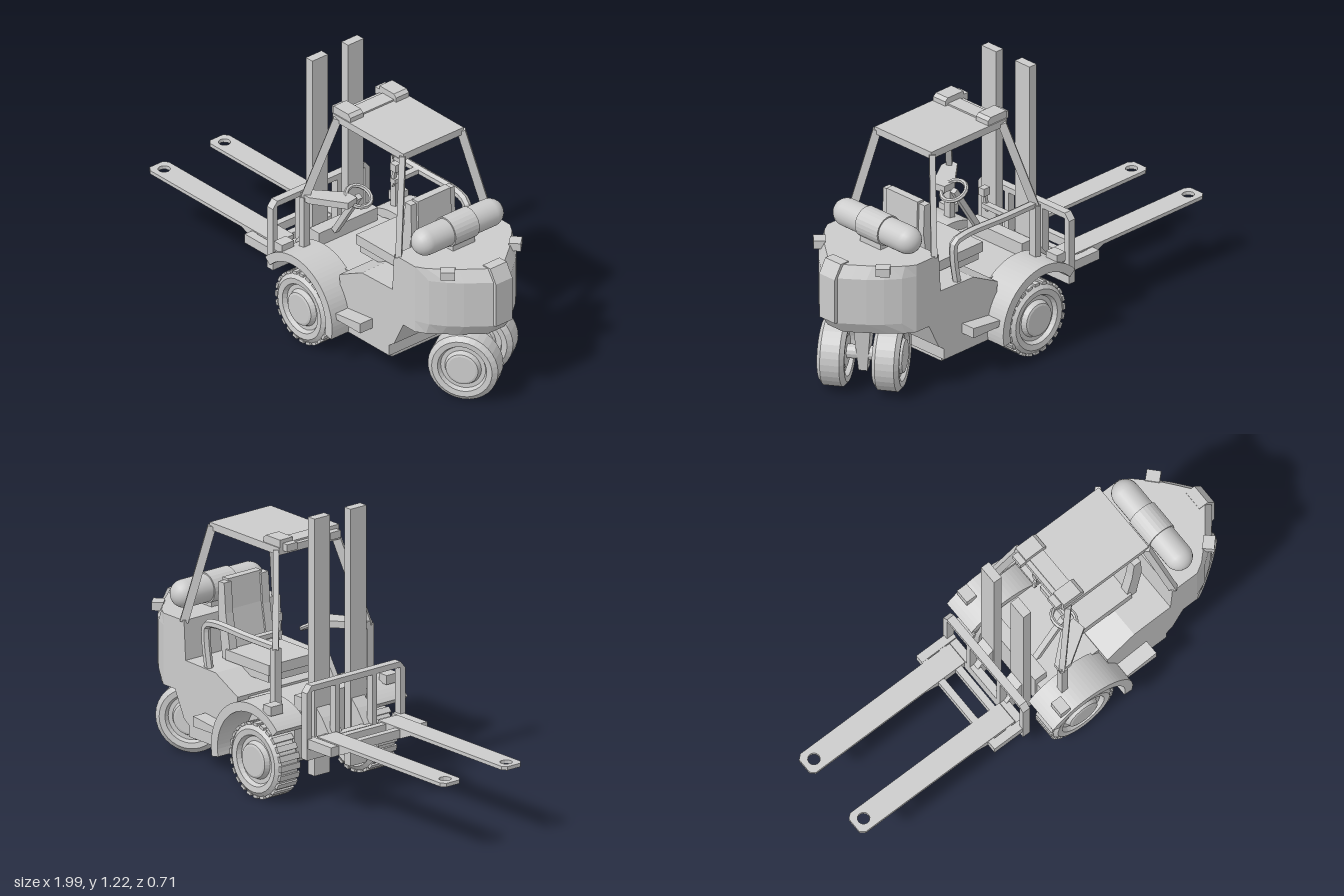
import * as THREE from 'three';

const mat = new THREE.MeshStandardMaterial({ color: 0xcccccc, flatShading: true });
const smooth = new THREE.MeshStandardMaterial({ color: 0xcccccc });
const V = (x, y, z) => new THREE.Vector3(x, y, z);

export function createModel() {
  const model = new THREE.Group();
  model.name = 'forklift';

  const add = (name, geo, parent = model, m = mat) => {
    const mesh = new THREE.Mesh(geo, m);
    mesh.name = name;
    parent.add(mesh);
    return mesh;
  };
  // box given by its extents
  const box = (name, x0, x1, y0, y1, z0, z1, parent = model) => {
    const b = add(name, new THREE.BoxGeometry(x1 - x0, y1 - y0, z1 - z0), parent);
    b.position.set((x0 + x1) / 2, (y0 + y1) / 2, (z0 + z1) / 2);
    return b;
  };
  const poly = (pts) => new THREE.Shape(pts.map((p) => new THREE.Vector2(p[0], p[1])));
  // side profile (x, y) pushed along z
  const prism = (name, shape, z0, z1, parent = model) => {
    const g = new THREE.ExtrudeGeometry(shape, { depth: z1 - z0, bevelEnabled: false, curveSegments: 16 });
    return add(name, g.translate(0, 0, z0), parent);
  };
  // plan outline (x, -z) pushed along y
  const slab = (shape, y0, y1, steps = 1) =>
    new THREE.ExtrudeGeometry(shape, { depth: y1 - y0, steps, bevelEnabled: false, curveSegments: 6 })
      .rotateX(-Math.PI / 2).translate(0, y0, 0);
  // straight bar between two points
  const beam = (name, a, b, w, d) => {
    const m = add(name, new THREE.BoxGeometry(w, d, a.distanceTo(b)));
    m.position.copy(a).lerp(b, 0.5);
    m.lookAt(b);
    return m;
  };

  // chassis: narrow front between the wheels, wide rear
  prism('frontChassis', poly([[-0.04, 0.17], [0.3, 0.13], [0.3, 0.37], [-0.04, 0.37]]), -0.2, 0.2);
  prism('rearChassis', poly([[0.27, 0.13], [0.56, 0.13], [0.56, 0.18], [0.59, 0.2], [0.65, 0.32], [0.65, 0.625],
    [0.59, 0.625], [0.58, 0.455], [0.39, 0.45], [0.25, 0.38]]), -0.26, 0.26);
  box('dashPanel', -0.05, 0.01, 0.2, 0.43, -0.16, 0.16);
  for (const x of [0.29, 0.54]) box('underRib', x, x + 0.015, 0.115, 0.14, -0.24, 0.24);

  // counterweight, its rounded tail drawn in at top and bottom
  const half = [[0.59, 0.26], [0.72, 0.26], [0.78, 0.235], [0.84, 0.19], [0.89, 0.14], [0.93, 0.09], [0.965, 0.045]];
  const cw = slab(poly([...half.map(([x, z]) => [x, -z]), ...half.slice().reverse()]), 0.315, 0.625, 6);
  const p = cw.attributes.position;
  for (let i = 0; i < p.count; i++) {
    const edge = p.getY(i) < 0.32 || p.getY(i) > 0.62;
    if (edge && p.getX(i) > 0.73) p.setX(i, p.getX(i) - 0.035 * Math.min(1, (p.getX(i) - 0.7) / 0.15));
  }
  cw.computeVertexNormals();
  add('counterweight', cw);
  prism('tailPanel', poly([[0.92, 0.36], [0.98, 0.37], [0.98, 0.57], [0.945, 0.63], [0.9, 0.63]]), -0.045, 0.045);

  // fenders, lights, steps and rear lamps, mirrored
  for (const s of [1, -1]) {
    const span = (a, b) => (s > 0 ? [a, b] : [-b, -a]);
    const arc = new THREE.Shape();
    arc.absarc(0.07, 0.18, 0.24, -0.21, 2.4, false);
    arc.absarc(0.07, 0.18, 0.2, 2.4, -0.21, true);
    prism('fender', arc, ...span(0.19, 0.353));
    box('headlight', -0.06, -0.01, 0.395, 0.435, ...span(0.28, 0.345));
    prism('step', poly([[0.28, 0.215], [0.455, 0.215], [0.455, 0.26], [0.28, 0.24]]), ...span(0.25, 0.326));
    const lamp = add('rearLamp', new THREE.BoxGeometry(0.05, 0.036, 0.06));
    lamp.position.set(0.84, 0.615, s * 0.185);
    lamp.rotation.y = -s * 0.75;

    // overhead guard legs
    beam('frontPost', V(0.022, 0.34, s * 0.25), V(0.022, 0.65, s * 0.25), 0.03, 0.035);
    beam('frontLeg', V(0.022, 0.64, s * 0.25), V(0.125, 1.03, s * 0.16), 0.025, 0.035);
    beam('rearLeg', V(0.605, 0.615, s * 0.247), V(0.53, 1.03, s * 0.16), 0.025, 0.035);
    prism('roofLampHousing', poly([[0.1, 1.02], [0.205, 1.02], [0.205, 1.065], [0.19, 1.078], [0.1, 1.078]]),
      ...span(0.09, 0.16));
    box('roofLamp', 0.072, 0.1, 1.03, 1.062, ...span(0.09, 0.145));

    // mast rail with its bracket
    box('mastRail', -0.095, -0.055, 0.1, 1.215, ...span(0.055, 0.14));
    prism('mastBracket', poly([[-0.175, 0.22], [-0.09, 0.22], [-0.09, 0.4], [-0.13, 0.36], [-0.175, 0.3]]),
      ...span(0.06, 0.13));

    // fork tine with a slot near the tip
    const tine = poly([[-1, -0.035], [-0.98, -0.052], [-0.21, -0.052], [-0.21, 0.052], [-0.98, 0.052], [-1, 0.035]]);
    const slot = new THREE.Path();
    slot.absellipse(-0.95, 0, 0.026, 0.026, 0, Math.PI * 2, true);
    tine.holes.push(slot);
    add('forkTine', slab(tine, 0.299, 0.315)).position.z = s * 0.165;
    prism('forkHeel', poly([[-0.41, 0.3], [-0.34, 0.27], [-0.2, 0.27], [-0.2, 0.315], [-0.41, 0.315]]),
      ...span(0.113, 0.217));
    box('carriageSide', -0.34, -0.16, 0.27, 0.312, ...span(0.222, 0.26));
  }

  // roof
  box('roof', 0.1, 0.54, 1.013, 1.045, -0.165, 0.165);
  box('roofFrontRib', 0.12, 0.19, 1.04, 1.052, -0.1, 0.1);

  // fork carriage: base bars and upright guard
  box('carriageBar', -0.34, -0.31, 0.272, 0.31, -0.26, 0.26);
  box('carriageBar', -0.25, -0.22, 0.272, 0.31, -0.26, 0.26);
  const guard = poly([[-0.265, 0.22], [0.265, 0.22], [0.265, 0.51], [0.24, 0.54], [-0.24, 0.54], [-0.265, 0.51]]);
  const bars = [-0.24, -0.1, 0.1, 0.24];
  for (let i = 0; i < 3; i++) {
    const a = bars[i] + (i ? 0.012 : 0), b = bars[i + 1] - (i < 2 ? 0.012 : 0);
    const hole = new THREE.Path();
    hole.moveTo(a, 0.3).lineTo(a, 0.515).lineTo(b, 0.515).lineTo(b, 0.3).closePath();
    guard.holes.push(hole);
  }
  const guardGeo = new THREE.ExtrudeGeometry(guard, { depth: 0.036, bevelEnabled: false });
  add('loadGuard', guardGeo.rotateY(Math.PI / 2).translate(-0.195, 0, 0));

  // seat
  box('seatBase', 0.22, 0.5, 0.42, 0.46, -0.12, 0.12);
  box('seatCushion', 0.205, 0.48, 0.455, 0.5, -0.13, 0.13);
  const backShape = [[0.465, 0.46], [0.52, 0.46], [0.55, 0.66], [0.545, 0.79], [0.51, 0.79], [0.5, 0.66]];
  prism('seatBack', poly(backShape), -0.09, 0.09);
  for (const s of [1, -1]) {
    const wing = prism('seatBackWing', poly(backShape.map(([x, y]) => [x - 0.01, y - 0.01])), -0.02, 0.02);
    wing.position.z = s * 0.1;
    wing.rotation.y = 0;
  }

  // side rail curving down beside the seat
  const railPath = new THREE.CatmullRomCurve3([V(0.02, 0.65, -0.245), V(0.2, 0.65, -0.245), V(0.42, 0.65, -0.24),
    V(0.475, 0.63, -0.235), V(0.48, 0.57, -0.235), V(0.46, 0.44, -0.235)]);
  add('sideRail', new THREE.TubeGeometry(railPath, 28, 0.019, 6));

  // controls: arm from the post, steering wheel and lever
  add('controlArm', slab(poly([[0.005, -0.26], [0.06, -0.26], [0.2, -0.17], [0.19, -0.11], [0.13, -0.11], [0.005, -0.22]]),
    0.632, 0.662));
  const wheel = add('steeringWheel', new THREE.TorusGeometry(0.055, 0.01, 6, 16).rotateX(Math.PI / 2));
  wheel.position.set(0.165, 0.645, 0.08);
  wheel.rotation.z = -0.5;
  beam('steeringColumn', V(0.02, 0.42, 0.08), V(0.165, 0.645, 0.08), 0.025, 0.025);
  beam('lever', V(0.16, 0.62, -0.11), V(0.178, 0.72, -0.11), 0.014, 0.014);
  box('leverKnob', 0.16, 0.195, 0.7, 0.735, -0.125, -0.095);
  beam('leverArm', V(0.17, 0.65, -0.1), V(0.17, 0.65, -0.25), 0.03, 0.02);

  // gas tank with strap and saddle
  const tank = add('gasTank', new THREE.CapsuleGeometry(0.06, 0.35, 6, 24).rotateX(Math.PI / 2), model, smooth);
  tank.position.set(0.688, 0.7, 0);
  const strap = add('tankStrap', new THREE.CylinderGeometry(0.066, 0.066, 0.13, 24).rotateX(Math.PI / 2));
  strap.position.copy(tank.position);
  box('tankSaddle', 0.65, 0.73, 0.62, 0.66, -0.06, 0.06);

  // wheels, outer face towards +z
  const profile = [[0, -0.8], [0.45, -0.8], [0.5, -0.6], [0.66, -0.6], [0.7, -0.95], [0.86, -1], [1, -0.7], [1, 0.7],
    [0.86, 1], [0.7, 0.95], [0.64, 0.65], [0.52, 0.65], [0.46, 1], [0.4, 1.05], [0, 1.05]];
  const makeWheel = (name, r, w, lugs) => {
    const g = new THREE.Group();
    g.name = name;
    const pts = profile.map(([a, b]) => new THREE.Vector2(a * r, b * w / 2));
    add('tyreAndHub', new THREE.LatheGeometry(pts, 32).rotateX(Math.PI / 2), g);
    for (let i = 0; i < lugs; i++) {
      const t = (i / lugs) * Math.PI * 2;
      const lug = add('treadLug', new THREE.BoxGeometry(0.012, 0.026, w * 0.84), g);
      lug.position.set(Math.cos(t) * r, Math.sin(t) * r, 0);
      lug.rotation.z = t;
    }
    model.add(g);
    return g;
  };
  for (const s of [1, -1]) {
    const w = makeWheel('frontWheel', 0.157, 0.125, 24);
    w.position.set(0.075, 0.163, s * 0.263);
    if (s < 0) w.rotation.y = Math.PI;
  }
  const axle = add('frontAxle', new THREE.CylinderGeometry(0.05, 0.05, 0.44, 12).rotateX(Math.PI / 2));
  axle.position.set(0.075, 0.163, 0);

  // steered rear pair, turned about the column
  const turn = 0.58, cx = 0.775, cz = -0.01;
  for (const s of [1, -1]) {
    const w = makeWheel('rearWheel', 0.15, 0.115, 0);
    w.position.set(cx + s * 0.115 * Math.sin(turn), 0.152, cz + s * 0.115 * Math.cos(turn));
    w.rotation.y = turn + (s < 0 ? Math.PI : 0);
  }
  const column = add('steeringFork', new THREE.CylinderGeometry(0.075, 0.035, 0.25, 4, 1).rotateY(Math.PI / 4).scale(1, 1, 0.75));
  column.position.set(cx, 0.205, cz);
  column.rotation.y = turn;
  const rearAxle = add('rearAxle', new THREE.CylinderGeometry(0.03, 0.03, 0.2, 12).rotateX(Math.PI / 2));
  rearAxle.position.set(cx, 0.152, cz);
  rearAxle.rotation.y = turn;

  return model;
}
